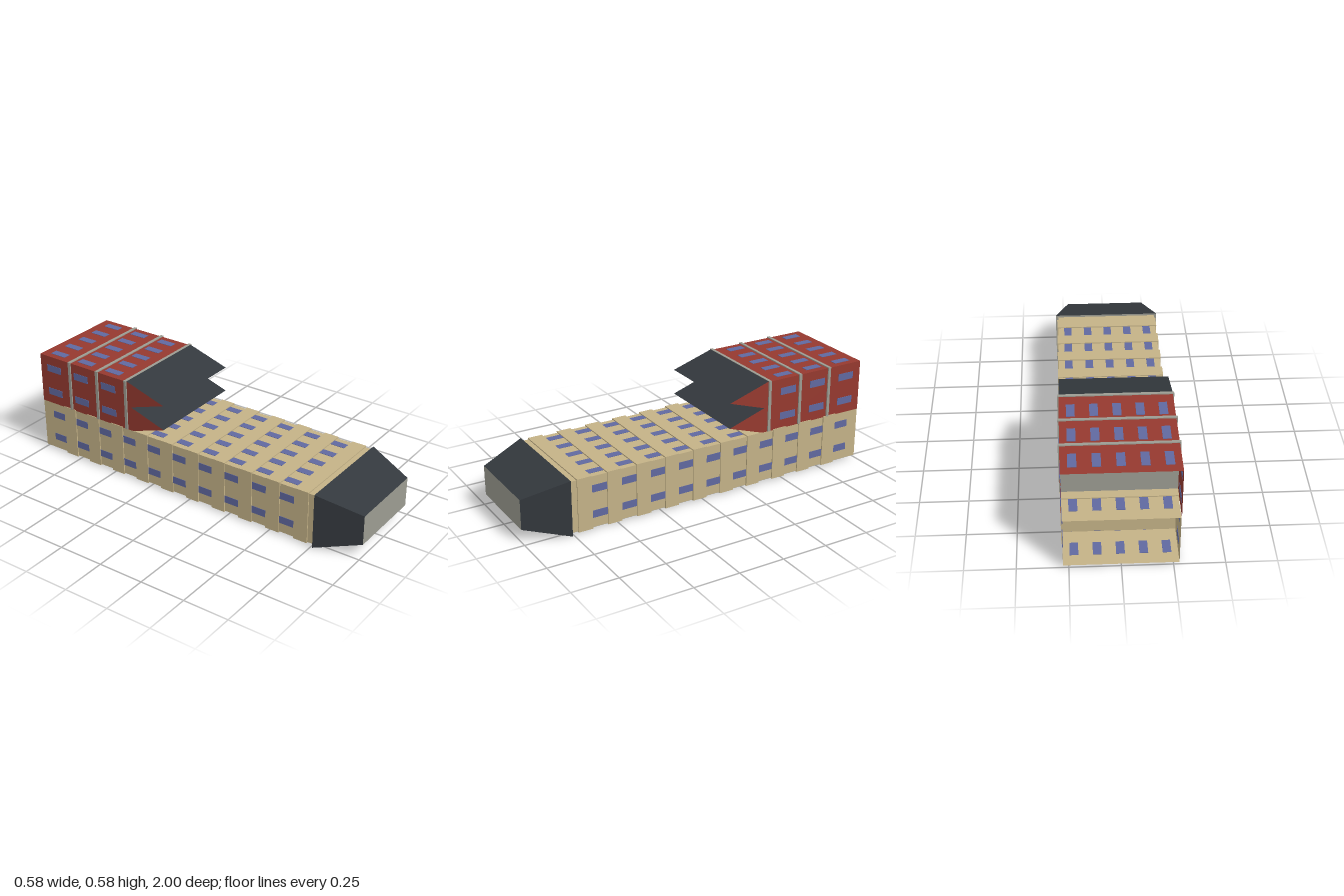
import * as THREE from 'three';
import { mergeGeometries } from 'three/addons/utils/BufferGeometryUtils.js';

const mat = (color) => new THREE.MeshStandardMaterial({ color, flatShading: true, side: THREE.DoubleSide });
const TAN = mat(0xc4b287), RED = mat(0x95392f), DARK = mat(0x33383d), GLASS = mat(0x6069a0), GREY = mat(0x9c9c92);

// Box spanning y0..y1 and z0..z1, keeping only the listed faces (0 +x, 1 -x, 2 +y, 3 -y, 4 +z, 5 -z)
function box(halfX, y0, y1, z0, z1, faces = [0, 1, 2, 3, 4, 5]) {
  const g = new THREE.BoxGeometry(halfX * 2, y1 - y0, z1 - z0);
  const index = Array.from(g.index.array);
  g.setIndex(faces.flatMap((f) => index.slice(f * 6, f * 6 + 6)));
  g.clearGroups();
  return g.translate(0, (y0 + y1) / 2, (z0 + z1) / 2);
}

function add(parent, name, geometry, material) {
  const mesh = new THREE.Mesh(geometry, material);
  mesh.name = name;
  parent.add(mesh);
  return mesh;
}

// Window tiles: rows across the roof (and floor), two storeys on each side
function windows(rows, length, halfX, levels, storeys) {
  const tiles = [];
  for (const z of rows) {
    for (const y of levels)
      for (let i = -2; i <= 2; i++)
        tiles.push(new THREE.BoxGeometry(0.042, 0.004, length).translate(i * 0.112, y, z));
    for (const y of storeys)
      for (const s of [-1, 1])
        tiles.push(new THREE.BoxGeometry(0.004, 0.04, length).translate(s * halfX, y, z));
  }
  return mergeGeometries(tiles);
}

// Tapered front: large rectangle at the back, small one ahead
function noseGeometry() {
  const g = new THREE.BoxGeometry(2, 2, 0.24);
  const p = g.attributes.position;
  for (let i = 0; i < p.count; i++) {
    const front = p.getZ(i) > 0;
    p.setXYZ(i,
      p.getX(i) * (front ? 0.22 : 0.292),
      0.152 + p.getY(i) * (front ? 0.081 : 0.152),
      front ? 1 : 0.76);
  }
  g.computeVertexNormals();
  return g;
}

export function createModel() {
  const model = new THREE.Group();
  model.name = 'building';

  // Long lower hall, open at the back
  const hall = new THREE.Group();
  hall.name = 'lowerHall';
  model.add(hall);
  add(hall, 'hallShell', box(0.278, 0.013, 0.293, -1, 0.76, [0, 1, 2, 3, 4]), TAN);
  const rows = Array.from({ length: 10 }, (_, i) => 0.6 - i * 0.1655);
  for (const z of rows) {
    const c = z + 0.083;
    add(hall, 'hallRib', box(0.284, 0.008, 0.299, c - 0.04, c + 0.04, [0, 1, 2, 3, 4]), TAN);
    // Ledges closing the back edge of each rib
    for (const s of [-1, 1]) {
      add(hall, 'ribSideLedge', box(0.003, 0.008, 0.299, c - 0.04, c - 0.038).translate(s * 0.281, 0, 0), TAN);
    }
    add(hall, 'ribTopLedge', box(0.284, 0.293, 0.299, c - 0.04, c - 0.038), TAN);
    add(hall, 'ribBottomLedge', box(0.284, 0.008, 0.013, c - 0.04, c - 0.038), TAN);
  }
  add(hall, 'hallWindows', windows(rows, 0.085, 0.278, [0.013, 0.293], [0.085, 0.225]), GLASS);

  // Nose: dark slopes with grey end faces
  add(model, 'nose', noseGeometry(), [DARK, DARK, DARK, DARK, GREY, GREY]);

  // Upper block, open at the back and standing on the hall roof
  const upper = new THREE.Group();
  upper.name = 'upperBlock';
  model.add(upper);
  add(upper, 'upperShell', box(0.28, 0.294, 0.575, -1, -0.4, [0, 1, 2]), RED);
  for (const z of [-0.405, -0.6, -0.79])
    add(upper, 'upperDivider', box(0.287, 0.296, 0.58, z - 0.008, z + 0.008), GREY);
  add(upper, 'upperWindows', windows([-0.525, -0.715, -0.905], 0.097, 0.28, [0.575], [0.365, 0.505]), GLASS);

  // Two pointed wedges facing forward, red ends and dark slopes
  const profile = new THREE.Shape([
    [-0.4, 0.295], [-0.365, 0.295], [-0.16, 0.364], [-0.373, 0.433],
    [-0.16, 0.504], [-0.4, 0.579],
  ].map(([z, y]) => new THREE.Vector2(z, y)));
  const wedge = new THREE.ExtrudeGeometry(profile, { depth: 0.56, bevelEnabled: false });
  wedge.translate(0, 0, -0.28).rotateY(-Math.PI / 2);
  add(upper, 'frontWedges', wedge, [RED, DARK]);

  return model;
}
